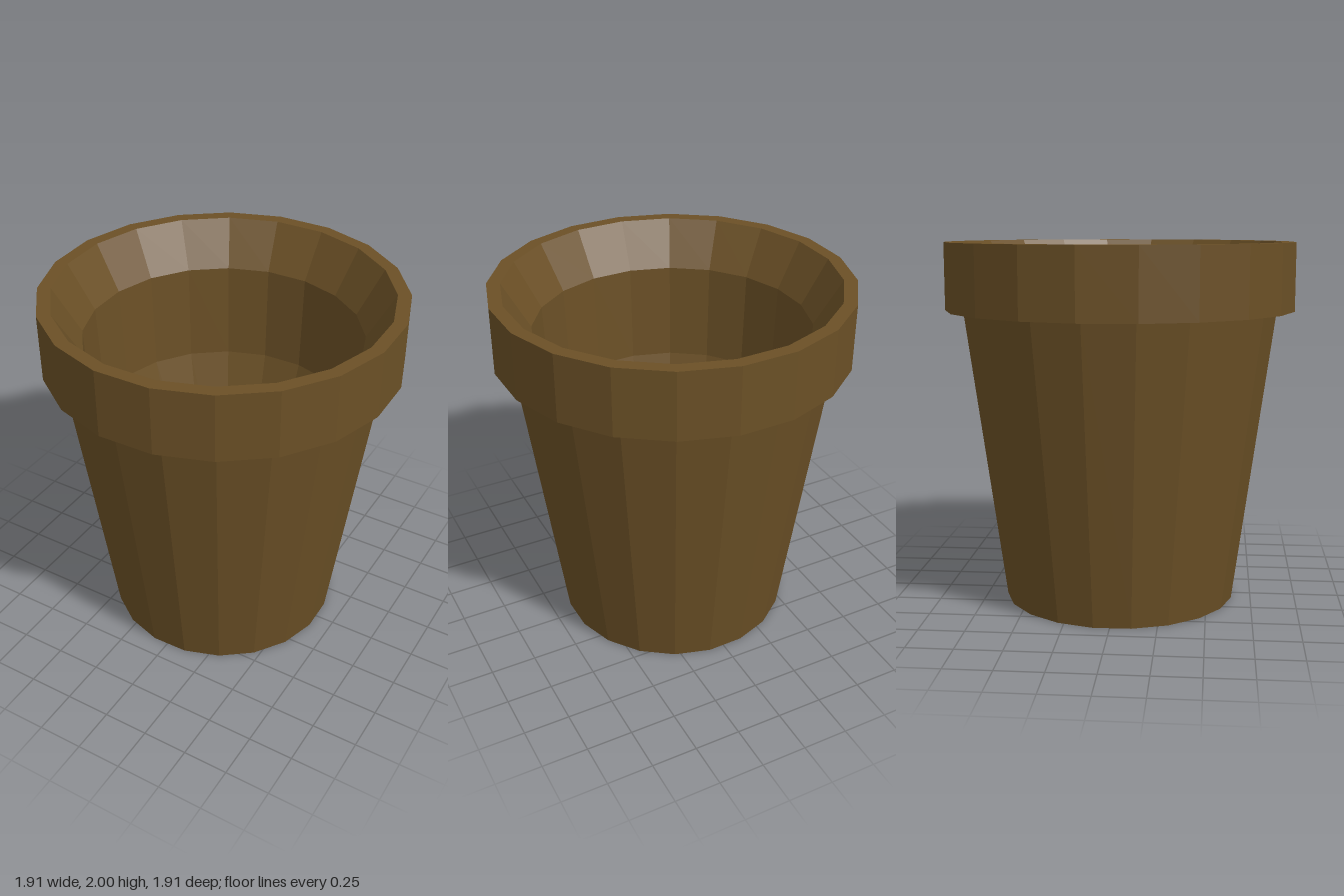
import * as THREE from 'three';

const SIDES = 20;
const TURN = THREE.MathUtils.degToRad(10.2); // facet rotation about the pot's axis

export function createModel() {
  const pot = new THREE.Group();
  pot.name = 'flowerPot';

  const clay = new THREE.MeshStandardMaterial({ color: 0x6b5026, flatShading: true });
  clay.name = 'brown clay';

  // Spins a [radius, height] profile into a faceted ring
  const spin = (name, profile) => {
    const points = profile.map(([r, y]) => new THREE.Vector2(r, y));
    const mesh = new THREE.Mesh(new THREE.LatheGeometry(points, SIDES, TURN), clay);
    mesh.name = name;
    pot.add(mesh);
  };

  // Closed base and tapered outer wall
  spin('body', [[0, 0], [0.647, 0], [0.868, 1.63]]);

  // Thick collar: underside, outer band and top lip
  spin('rim', [[0.868, 1.63], [0.965, 1.63], [0.965, 2], [0.893, 2]]);

  // Flared mouth, then the inner wall narrowing to the floor
  spin('innerWall', [[0.893, 2], [0.748, 1.75], [0.725, 1.2], [0.41, 0.15]]);

  // Inner floor
  spin('floor', [[0.41, 0.15], [0, 0.15]]);

  return pot;
}
